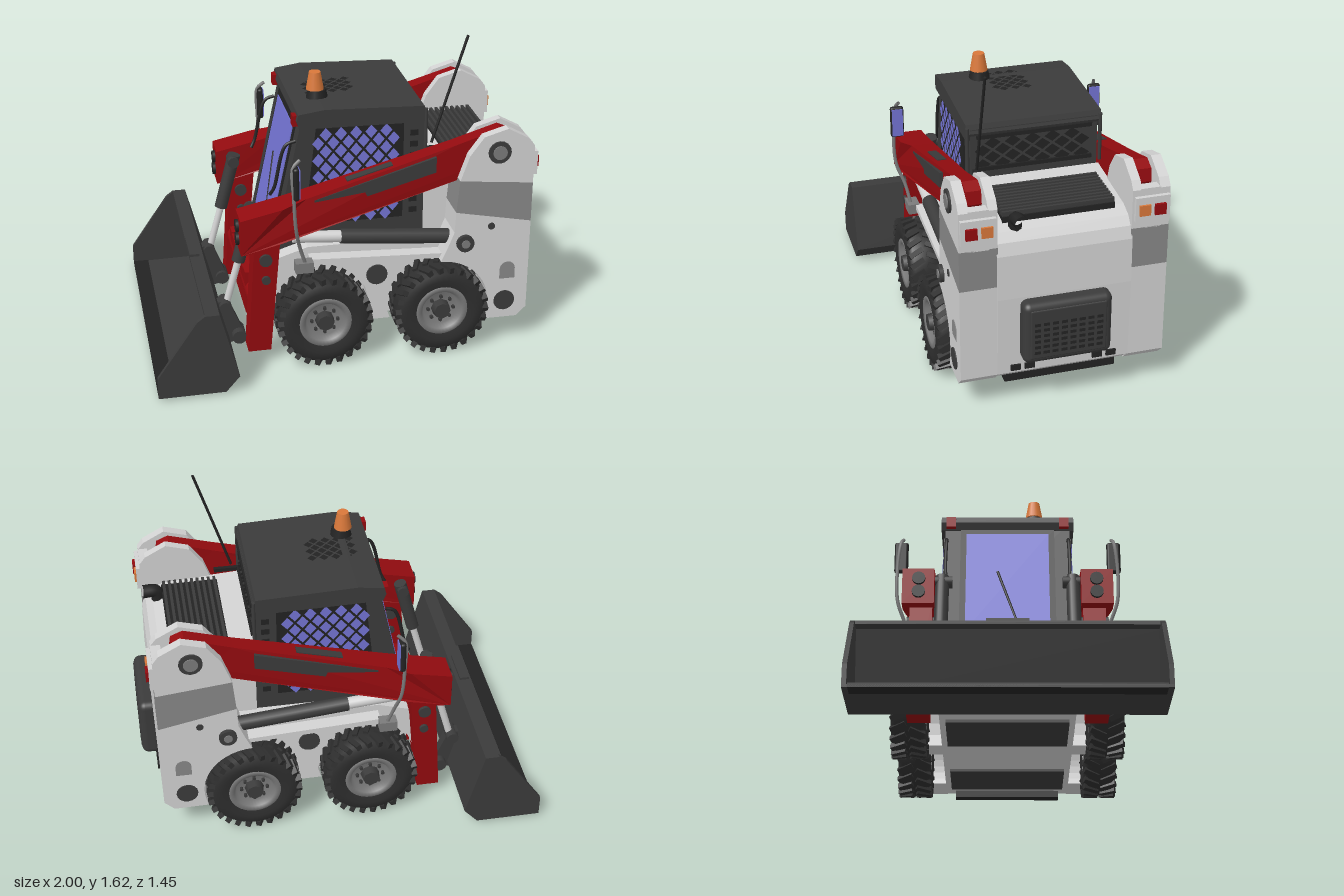
import * as THREE from 'three';
import { mergeGeometries } from 'three/addons/utils/BufferGeometryUtils.js';
import { RoundedBoxGeometry } from 'three/addons/geometries/RoundedBoxGeometry.js';

const mat = (name, color) => Object.assign(new THREE.MeshStandardMaterial({ color }), { name });
const M = {
  white: mat('body light grey', 0xd2d2d2), band: mat('band grey', 0x888888), dark: mat('dark grey', 0x3b3b3b),
  black: mat('black', 0x232323), tyre: mat('tyre rubber', 0x2e2e2e), red: mat('arm red', 0x930b0f),
  glass: mat('blue glass', 0x7474d4), orange: mat('orange', 0xd9783a), rim: mat('rim grey', 0x7b7b7b),
};

export function createModel() {
  const root = new THREE.Group();
  root.name = 'skidSteerLoader';
  const add = (name, geo, m, x = 0, y = 0, z = 0, parent = root) => {
    const mesh = new THREE.Mesh(geo, m);
    mesh.name = name;
    mesh.position.set(x, y, z);
    parent.add(mesh);
    return mesh;
  };
  const box = (name, m, x, y, z, w, h, d) => add(name, new THREE.BoxGeometry(w, h, d), m, x, y, z);
  // side profile in x, y extruded between two z values
  const profileGeo = (pts, z0, z1) => new THREE.ExtrudeGeometry(new THREE.Shape(pts.map(p => new THREE.Vector2(...p))),
    { depth: z1 - z0, bevelEnabled: false }).translate(0, 0, z0);
  const slab = (name, m, pts, za, zb) => add(name, profileGeo(pts, Math.min(za, zb), Math.max(za, zb)), m);
  // round bar between two points
  const bar = (name, m, a, b, r, r2 = r) => {
    const p = new THREE.Vector3(...a), q = new THREE.Vector3(...b), d = q.clone().sub(p);
    const mesh = add(name, new THREE.CylinderGeometry(r2, r, d.length(), 16), m);
    mesh.position.copy(p.add(q).multiplyScalar(0.5));
    mesh.quaternion.setFromUnitVectors(new THREE.Vector3(0, 1, 0), d.normalize());
    return mesh;
  };
  const disc = (name, m, x, y, z0, z1, r) => bar(name, m, [x, y, z0], [x, y, z1], r);
  const pipe = (name, m, pts, r) => add(name, new THREE.TubeGeometry(
    new THREE.CatmullRomCurve3(pts.map(p => new THREE.Vector3(...p))), 32, r, 8), m);
  // points round a wheel arch, angles in degrees
  const arch = (cx, a0, a1, n = 14) => Array.from({ length: n + 1 }, (_, i) => {
    const a = (a0 + (a1 - a0) * i / n) * Math.PI / 180;
    return [cx + 0.253 * Math.cos(a), 0.25 + 0.253 * Math.sin(a)];
  });
  // staggered lattice of diamonds lying in the x, y plane
  const diamonds = (x0, x1, y0, y1, dx, dy, keep = () => true) => {
    const list = [];
    for (let j = 0; y0 + j * dy / 2 <= y1; j++) for (let x = x0 + (j % 2) * dx / 2; x <= x1; x += dx) {
      const y = y0 + j * dy / 2;
      if (keep(x, y)) list.push(new THREE.CircleGeometry(0.4, 4).scale(dx, dy, 1).translate(x, y, 0));
    }
    return mergeGeometries(list);
  };

  // main body with rear hood
  slab('mainBody', M.white, [[-0.37, 0.15], [0.86, 0.15], [0.92, 0.2], [0.93, 0.62], [0.925, 0.85], [0.905, 0.91],
    [0.87, 0.95], [0.8, 0.975], [0.41, 1.0], [0.41, 0.6], [-0.2, 0.6], [-0.37, 0.52]], -0.33, 0.33);
  box('bellyPlate', M.dark, 0.6, 0.146, 0, 0.3, 0.02, 0.6);
  box('frontBellyPlate', M.dark, -0.1, 0.146, 0, 0.34, 0.02, 0.6);
  box('rearSkid', M.black, 0.84, 0.135, 0, 0.06, 0.04, 0.56);
  box('hoodVentBase', M.black, 0.675, 0.983, 0, 0.29, 0.03, 0.55);
  for (let i = 0; i < 10; i++) box('hoodSlat', M.dark, 0.545 + i * 0.029, 1.005, 0, 0.014, 0.03, 0.55);
  add('rearGrille', new RoundedBoxGeometry(0.1, 0.33, 0.44, 4, 0.035), M.dark, 0.95, 0.445, 0);
  add('rearGrilleFace', new RoundedBoxGeometry(0.02, 0.27, 0.38, 3, 0.009), M.dark, 0.993, 0.445, 0);
  for (let i = 0; i < 8; i++) for (let j = 0; j < 6; j++)
    box('grilleSlot', M.black, 1.001, 0.345 + j * 0.031, -0.154 + i * 0.044, 0.006, 0.016, 0.03);
  for (const z of [-0.24, -0.17, 0.17, 0.24]) box('rearLatch', M.black, 0.925, 0.23, z, 0.012, 0.03, 0.05);
  pipe('exhaust', M.black, [[0.84, 0.94, 0.22], [0.85, 1.0, 0.22], [0.92, 1.01, 0.21]], 0.034);
  bar('antenna', M.black, [0.45, 1.07, 0.3], [0.62, 1.62, 0.3], 0.007);
  box('antennaBracket', M.black, 0.47, 1.04, 0.3, 0.14, 0.02, 0.02);

  // cab
  slab('cab', M.dark, [[-0.37, 0.52], [0.41, 0.6], [0.41, 1.26], [-0.21, 1.26]], -0.32, 0.32);
  slab('roof', M.dark, [[-0.225, 1.21], [0.4, 1.2], [0.415, 1.24], [0.4, 1.285], [-0.1, 1.303], [-0.23, 1.285], [-0.24, 1.25]], -0.34, 0.34);
  const tilt = Math.atan2(0.16, 0.74);
  const frontPlate = (name, m, w, h, off, t = 0) => {
    const mesh = box(name, m, -0.292 - off, 0.88, 0, 0.008, h, w);
    mesh.rotation.z = -tilt + t;
    return mesh;
  };
  frontPlate('windshieldFrame', M.black, 0.48, 0.68, 0.002);
  frontPlate('windshield', M.glass, 0.42, 0.62, 0.007);
  bar('wiper', M.black, [-0.355, 0.62, 0.05], [-0.29, 0.94, -0.05], 0.007);
  const roofMesh = add('roofHatchGrid', diamonds(-0.13, 0.1, -0.11, 0.06, 0.06, 0.06), M.black, 0, 1.304, -0.02);
  roofMesh.rotation.x = -Math.PI / 2;
  roofMesh.rotation.y = -0.025;
  const backMesh = add('rearWindowGrid', diamonds(-0.26, 0.26, 1.07, 1.2, 0.1, 0.075), M.black, 0.414);
  backMesh.rotation.y = Math.PI / 2;
  for (const y of [1.05, 1.22]) box('rearWindowRail', M.black, 0.416, y, 0, 0.012, 0.02, 0.58);
  bar('beaconBase', M.black, [-0.1, 1.29, 0.14], [-0.1, 1.34, 0.14], 0.056, 0.046);
  bar('beacon', M.orange, [-0.11, 1.34, 0.14], [-0.11, 1.43, 0.14], 0.045, 0.029);

  // tyre and rim, turned about the z axis
  const turned = pts => new THREE.LatheGeometry(pts.map(p => new THREE.Vector2(...p)), 40).rotateX(Math.PI / 2);
  const tyreGeo = turned([[0.13, -0.075], [0.17, -0.085], [0.21, -0.08], [0.228, -0.06], [0.231, 0], [0.228, 0.06],
    [0.21, 0.08], [0.17, 0.085], [0.13, 0.075]]);
  const lugs = [];
  for (let i = 0; i < 26; i++) for (const s of [-1, 1])
    lugs.push(new THREE.BoxGeometry(0.026, 0.03, 0.08).rotateY(s * 0.45).translate(0, 0.227, s * 0.045)
      .rotateZ((i + (s > 0 ? 0.5 : 0)) * Math.PI / 13));
  const treadGeo = mergeGeometries(lugs);
  const rimGeo = turned([[0, 0.04], [0.09, 0.04], [0.105, 0.075], [0.132, 0.079], [0.137, 0.06], [0.137, -0.06], [0, -0.06]].reverse());

  for (const s of [-1, 1]) {
    for (const x of [-0.14, 0.46]) {
      const wheel = new THREE.Group();
      wheel.name = 'wheel';
      wheel.position.set(x, 0.25, s * 0.48);
      if (s < 0) wheel.rotation.y = Math.PI;
      root.add(wheel);
      add('tyre', tyreGeo, M.tyre, 0, 0, 0, wheel);
      add('tread', treadGeo, M.tyre, 0, 0, 0, wheel);
      add('rim', rimGeo, M.rim, 0, 0, 0, wheel).material.side = THREE.DoubleSide;
      add('hub', new THREE.CylinderGeometry(0.042, 0.05, 0.05, 8).rotateX(Math.PI / 2), M.dark, 0, 0, 0.06, wheel);
      for (let i = 0; i < 8; i++) {
        const a = i * Math.PI / 4;
        add('wheelNut', new THREE.CylinderGeometry(0.009, 0.009, 0.02, 6).rotateX(Math.PI / 2), M.dark,
          0.066 * Math.cos(a), 0.066 * Math.sin(a), 0.046, wheel);
      }
    }

    // chassis side with wheel arches, and step above the wheels
    slab('chassisSide', M.white, [...arch(0.46, 90, 203), ...arch(-0.14, -23, 180), [-0.393, 0.35], [-0.36, 0.55], [-0.2, 0.6], [0.55, 0.6]],
      s * 0.32, s * 0.4);
    slab('sideStep', M.white, [[-0.2, 0.535], [0.5, 0.505], [0.5, 0.53], [-0.2, 0.565]], s * 0.39, s * 0.47);
    // rear tower: lower part, grey band, slotted top
    slab('towerLower', M.white, [[0.87, 0.15], [0.92, 0.2], [0.92, 0.69], [0.53, 0.77], [0.525, 0.66], [0.49, 0.57], ...arch(0.46, 90, -23)],
      s * 0.325, s * 0.51);
    slab('towerBand', M.band, [[0.53, 0.77], [0.92, 0.69], [0.92, 0.9], [0.545, 0.94]], s * 0.325, s * 0.51);
    const top = [[0.545, 0.94], [0.92, 0.9], [0.92, 1.1], [0.89, 1.14], [0.78, 1.2], [0.66, 1.165], [0.59, 1.07]];
    slab('towerInnerPlate', M.white, top, s * 0.325, s * 0.37);
    slab('towerOuterPlate', M.white, top, s * 0.46, s * 0.51);
    box('towerBack', M.white, 0.895, 1.0, s * 0.415, 0.05, 0.21, 0.1);
    box('lampHousing', M.white, 0.925, 1.005, s * 0.42, 0.03, 0.125, 0.17);
    box('tailLamp', M.red, 0.945, 1.003, s * 0.455, 0.018, 0.055, 0.055);
    box('turnLamp', M.orange, 0.943, 1.003, s * 0.38, 0.014, 0.055, 0.055);
    disc('armPivot', M.dark, 0.74, 1.08, s * 0.33, s * 0.52, 0.058);
    disc('armPivotCap', M.rim, 0.74, 1.08, s * 0.515, s * 0.526, 0.036);
    disc('cylinderPivot', M.dark, 0.58, 0.6, s * 0.5, s * 0.53, 0.045);
    disc('cylinderPivotCap', M.rim, 0.58, 0.6, s * 0.52, s * 0.535, 0.022);
    disc('towerBolt', M.dark, 0.715, 0.68, s * 0.5, s * 0.515, 0.018);
    disc('rearSideVent', M.dark, 0.8, 0.25, s * 0.5, s * 0.515, 0.055);
    disc('middleSideVent', M.dark, 0.155, 0.41, s * 0.39, s * 0.408, 0.055);
    box('sideRecess', M.band, 0.81, 0.4, s * 0.509, 0.08, 0.05, 0.006);
    disc('sideRecessTop', M.band, 0.81, 0.43, s * 0.5, s * 0.513, 0.04);

    // lift arm, tapering in width toward its pivot
    const armGeo = profileGeo([[-0.55, 0.64], [-0.46, 0.65], [-0.34, 0.69], [-0.22, 0.715], [0.55, 0.925], [0.66, 1.0], [0.8, 1.04], [0.83, 1.09],
      [0.82, 1.155], [0.76, 1.18], [0.53, 1.11], [-0.22, 0.9], [-0.34, 0.87], [-0.55, 0.825]], 0, 1);
    const p = armGeo.attributes.position;
    for (let i = 0; i < p.count; i++) {
      const x = p.getX(i), inner = x < 0 ? 0.355 : 0.375;
      const outer = x < -0.33 ? 0.51 : 0.475 - 0.025 * Math.max(0, x + 0.22);
      p.setZ(i, s * THREE.MathUtils.lerp(inner, outer, s > 0 ? p.getZ(i) : 1 - p.getZ(i)));
    }
    armGeo.computeVertexNormals();
    add('liftArm', armGeo, M.red);
    slab('armSidePanel', M.dark, [[-0.18, 0.815], [0.43, 0.985], [0.43, 1.065], [-0.18, 0.89]], s * 0.455, s * 0.479);
    slab('armTopPanel', M.dark, [[-0.01, 0.957], [0.22, 1.021], [0.22, 1.028], [-0.01, 0.964]], s * 0.395, s * 0.44);
    slab('armLeg', M.red, [[-0.52, 0.08], [-0.405, 0.08], [-0.35, 0.69], [-0.48, 0.68]], s * 0.365, s * 0.475);
    for (const y of [0.59, 0.48]) disc('legPin', M.dark, -0.425, y, s * 0.35, s * 0.49, y > 0.5 ? 0.032 : 0.022);
    for (const y of [0.7, 0.77]) bar('workLamp', M.black, [-0.545, y, s * 0.43], [-0.565, y, s * 0.43], 0.032);

    // lift cylinder and tilt cylinder
    bar('liftCylinder', M.dark, [0.56, 0.602, s * 0.43], [-0.04, 0.66, s * 0.43], 0.038);
    bar('liftRod', M.white, [-0.04, 0.66, s * 0.43], [-0.28, 0.68, s * 0.43], 0.03);
    bar('tiltCylinder', M.dark, [-0.46, 0.82, s * 0.32], [-0.54, 0.52, s * 0.32], 0.034);
    bar('tiltRod', M.white, [-0.54, 0.52, s * 0.32], [-0.61, 0.27, s * 0.32], 0.018);
    disc('tiltTopPin', M.dark, -0.47, 0.79, s * 0.27, s * 0.38, 0.03);
    disc('bucketUpperPin', M.dark, -0.615, 0.28, s * 0.27, s * 0.37, 0.032);
    disc('bucketLowerPin', M.dark, -0.55, 0.11, s * 0.27, s * 0.38, 0.036);
    slab('bucketLug', M.dark, [[-0.62, 0.06], [-0.53, 0.08], [-0.53, 0.14], [-0.6, 0.31], [-0.66, 0.3]], s * 0.29, s * 0.34);
    slab('crossbarFlange', M.red, [[-0.5, 0.22], [-0.38, 0.22], [-0.38, 0.42], [-0.5, 0.42]], s * 0.2, s * 0.27);

    // side window with diamond guard
    const win = add('sideWindow', diamonds(-0.17, 0.27, 0.72, 1.19, 0.076, 0.09, (x, y) => x > -0.13 - (1.19 - y) * 0.12), M.glass, 0, 0, s * 0.334);
    slab('sideWindowFrame', M.black, [[-0.2, 0.69], [0.3, 0.69], [0.3, 1.21], [-0.14, 1.21]], s * 0.31, s * 0.33);
    win.material.side = THREE.DoubleSide;
    for (let i = 0; i < 8; i++) box('rearSideSlot', M.black, 0.355, 0.72 + i * 0.06, s * 0.321, 0.04, 0.03, 0.006);
    box('cabRedLamp', M.red, -0.24, 1.245, s * 0.29, 0.03, 0.055, 0.05);
    bar('rearCabRail', M.dark, [0.41, 1.02, s * 0.335], [0.41, 1.27, s * 0.335], 0.009);
    pipe('cabHandle', M.black, [[-0.37, 0.86, s * 0.3], [-0.35, 0.9, s * 0.31], [-0.29, 1.12, s * 0.31], [-0.24, 1.14, s * 0.31]], 0.009);

    // mirror on its curved stalk
    box('mirrorBracket', M.rim, -0.235, 0.54, s * 0.48, 0.09, 0.055, 0.06);
    pipe('mirrorStalk', M.rim, [[-0.23, 0.56, s * 0.49], [-0.26, 0.66, s * 0.51], [-0.285, 0.78, s * 0.55], [-0.295, 0.95, s * 0.555],
      [-0.295, 1.1, s * 0.54], [-0.26, 1.135, s * 0.53]], 0.009);
    add('mirrorShell', new RoundedBoxGeometry(0.03, 0.17, 0.07, 3, 0.013), M.black, -0.283, 1.02, s * 0.537);
    box('mirrorGlass', M.glass, -0.267, 1.02, s * 0.537, 0.006, 0.15, 0.056);
  }

  // cross members between the arm legs
  bar('crossTube', M.red, [-0.45, 0.32, -0.38], [-0.45, 0.32, 0.38], 0.055);
  box('couplerPlate', M.red, -0.485, 0.3, 0, 0.03, 0.22, 0.54);

  // bucket
  slab('bucketShell', M.dark, [[-1, 0.02], [-0.67, 0.02], [-0.6, 0.1], [-0.69, 0.45], [-0.76, 0.45], [-0.76, 0.432], [-0.705, 0.432],
    [-0.622, 0.11], [-0.68, 0.038], [-1, 0.034]], -0.725, 0.725);
  for (const s of [-1, 1]) slab('bucketSide', M.dark, [[-1, 0.02], [-0.67, 0.02], [-0.6, 0.1], [-0.69, 0.45], [-0.76, 0.45], [-0.8, 0.42], [-1, 0.13]],
    s * 0.705, s * 0.727);
  box('bucketStep', M.dark, -0.735, 0.456, 0, 0.05, 0.014, 0.2);
  box('bucketCuttingEdge', M.black, -0.96, 0.03, 0, 0.08, 0.022, 1.4);
  return root;
}
